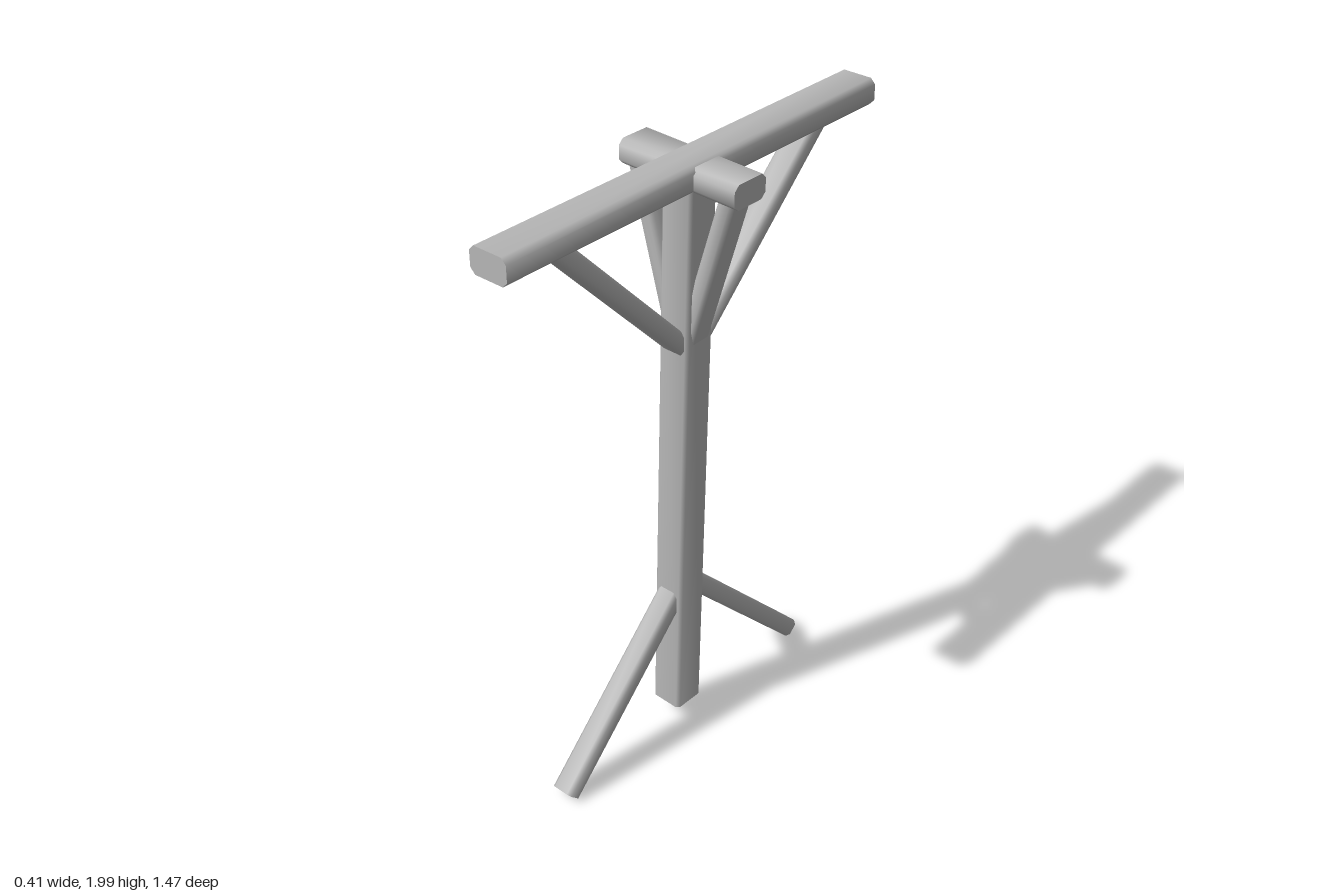
import * as THREE from 'three';
import { toCreasedNormals } from 'three/addons/utils/BufferGeometryUtils.js';

const grey = new THREE.MeshStandardMaterial({ color: 0xb8b8b8 });
grey.name = 'weatheredGrey';

// Rectangular section with small chamfered corners
function section(w, h, c) {
  const x = w / 2, y = h / 2;
  return new THREE.Shape([
    [x - c, -y], [x, c - y], [x, y - c], [x - c, y],
    [c - x, y], [-x, y - c], [-x, c - y], [c - x, -y],
  ].map(([a, b]) => new THREE.Vector2(a, b)));
}

// Straight timber between two points; w is measured along the side axis
function timber(name, from, to, w, h, side, chamfer = 0.012) {
  const a = new THREE.Vector3(...from);
  const dir = new THREE.Vector3(...to).sub(a);
  const length = dir.length();
  dir.normalize();
  const u = new THREE.Vector3(...side);
  u.addScaledVector(dir, -u.dot(dir)).normalize();
  const v = new THREE.Vector3().crossVectors(dir, u);
  const raw = new THREE.ExtrudeGeometry(section(w, h, chamfer), { depth: length, bevelEnabled: false });
  const geometry = toCreasedNormals(raw, 1.0);
  geometry.applyMatrix4(new THREE.Matrix4().makeBasis(u, v, dir).setPosition(a));
  const mesh = new THREE.Mesh(geometry, grey);
  mesh.name = name;
  return mesh;
}

export function createModel() {
  const model = new THREE.Group();
  model.name = 'timberPost';
  const X = [1, 0, 0.01], Z = [0, 0, 1];

  // Slightly leaning post
  model.add(timber('post', [-0.06, 0.082, 0], [-0.002, 1.96, 0.002], 0.108, 0.11, X, 0.01));

  // Crossed beams on top
  model.add(timber('longBeam', [-0.007, 1.953, 0.735], [0.005, 1.959, -0.73], 0.128, 0.08, X, 0.016));
  model.add(timber('shortBeam', [-0.205, 1.96, -0.004], [0.203, 1.948, 0], 0.126, 0.074, Z, 0.016));

  // Braces under the long beam
  model.add(timber('frontBrace', [-0.02, 1.40, 0.01], [-0.006, 1.95, 0.55], 0.085, 0.055, X));
  model.add(timber('backBrace', [-0.02, 1.40, -0.01], [0, 1.95, -0.545], 0.085, 0.055, X));

  // Steeper braces under the short beam
  model.add(timber('rightBrace', [-0.036, 1.43, 0], [-0.174, 1.95, 0], 0.085, 0.055, Z));
  model.add(timber('leftBrace', [0.004, 1.43, 0], [0.162, 1.945, 0], 0.085, 0.055, Z));

  // Splayed legs at the base
  model.add(timber('frontLeg', [-0.048, 0.55, 0.008], [-0.055, 0.028, 0.525], 0.076, 0.062, X));
  model.add(timber('backLeg', [-0.046, 0.572, -0.01], [-0.052, 0.028, -0.553], 0.076, 0.062, X));

  return model;
}
